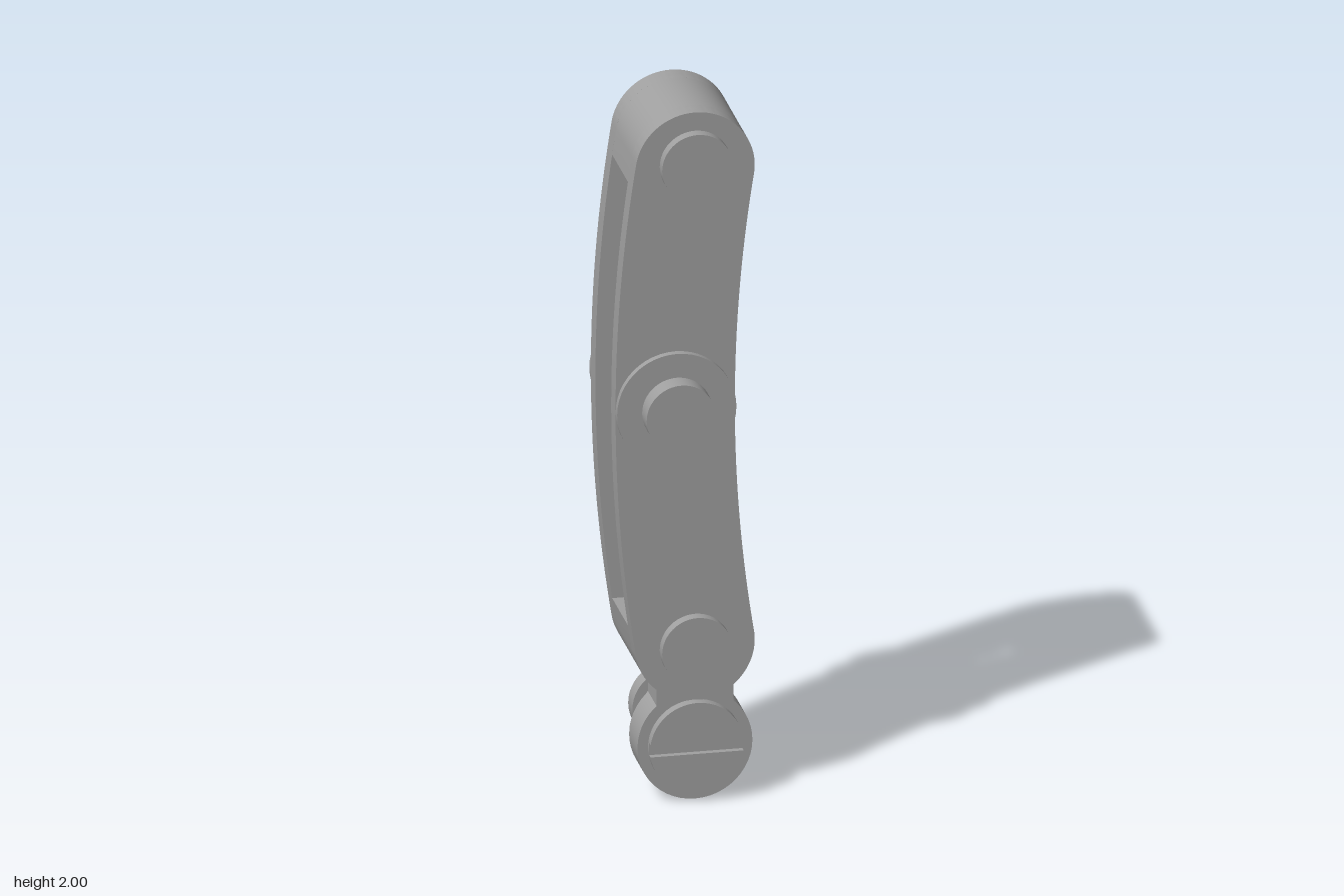
import * as THREE from 'three';
import { toCreasedNormals } from 'three/addons/utils/BufferGeometryUtils.js';

const steel = new THREE.MeshStandardMaterial({ color: 0xa0a0a0 });
steel.name = 'steel grey';

// Centreline of the curved link: an arc about (CX, CY) of radius R
const CX = 4.33, CY = 1.143, R = 4.36, HALF = 0.165, SPAN = Math.asin(0.69 / R);
const PI = Math.PI;

// Rounded band following the centreline
function bandShape(halfWidth, span) {
  const s = new THREE.Shape();
  const ex = CX - R * Math.cos(span), ey = R * Math.sin(span);
  s.absarc(CX, CY, R + halfWidth, PI - span, PI + span, false);
  s.absarc(ex, CY - ey, halfWidth, PI + span, 2 * PI + span, false);
  s.absarc(CX, CY, R - halfWidth, PI + span, PI - span, true);
  s.absarc(ex, CY + ey, halfWidth, -span, PI - span, false);
  s.closePath();
  return s;
}

// Solid end of the band beyond the window; side is +1 (top) or -1 (bottom)
function endShape(side) {
  const cut = 0.645;
  const edge = r => CX - Math.sqrt(r * r - cut * cut);
  const ex = CX - R * Math.cos(SPAN), ey = R * Math.sin(SPAN);
  const pts = [new THREE.Vector2(edge(R + HALF), CY + side * cut), new THREE.Vector2(edge(R - HALF), CY + side * cut)];
  for (let i = 0; i <= 32; i++) {
    const a = -SPAN + (PI * i) / 32;
    pts.push(new THREE.Vector2(ex + HALF * Math.cos(a), CY + side * (ey + HALF * Math.sin(a))));
  }
  return new THREE.Shape(pts);
}

export function createModel() {
  const model = new THREE.Group();
  model.name = 'expansionLink';

  function add(name, geometry) {
    const mesh = new THREE.Mesh(geometry, steel);
    mesh.name = name;
    model.add(mesh);
    return mesh;
  }
  // Extrusion between two z values
  function slab(name, shape, z0, z1) {
    const g = new THREE.ExtrudeGeometry(shape, { depth: z1 - z0, bevelEnabled: false, curveSegments: 32 });
    g.translate(0, 0, z0);
    return add(name, toCreasedNormals(g, 0.6));
  }
  // Cylinder along z between two z values
  function pin(name, x, y, r, z0, z1) {
    const g = new THREE.CylinderGeometry(r, r, z1 - z0, 48);
    g.rotateX(PI / 2);
    g.translate(x, y, (z0 + z1) / 2);
    return add(name, g);
  }

  // Side plates, each with a shallow groove on its inner face
  const grooved = bandShape(HALF, SPAN);
  grooved.holes.push(bandShape(0.1, Math.asin(0.51 / R)));
  slab('frontPlate', bandShape(HALF, SPAN), 0.135, 0.162);
  slab('frontGroove', grooved, 0.105, 0.135);
  slab('backPlate', bandShape(HALF, SPAN), -0.162, -0.135);
  slab('backGroove', grooved, -0.135, -0.102);

  // End blocks joining the plates
  slab('topBlock', endShape(1), -0.102, 0.105);
  slab('bottomBlock', endShape(-1), -0.102, 0.105);

  // Trunnions on both sides of the middle
  for (const [side, label] of [[1, 'front'], [-1, 'back']]) {
    const span = (a, b) => (side > 0 ? [a, b] : [-b, -a]);
    pin(label + 'TrunnionFlange', -0.03, CY, HALF, ...span(0.15, 0.183));
    pin(label + 'TrunnionPin', -0.03, CY, 0.096, ...span(0.15, 0.243));
  }

  // Pins at the two ends
  pin('topPin', 0.025, 1.847, 0.098, 0.1, 0.195);
  pin('bottomPin', 0.025, 0.442, 0.098, 0.05, 0.195);

  // Hanging eye with its neck
  const ex = 0.025, ey = 0.161;
  pin('eye', ex, ey, 0.159, 0.05, 0.16);
  const neck = new THREE.BoxGeometry(0.212, 0.2, 0.11);
  neck.translate(ex, 0.34, 0.105);
  add('eyeNeck', neck);

  // Slotted bolt through the eye
  pin('boltHeadBase', ex, ey, 0.13, 0.155, 0.172);
  const a = Math.asin(0.018 / 0.13);
  for (const [label, turn] of [['Upper', 0], ['Lower', PI]]) {
    const half = new THREE.Shape();
    half.absarc(ex, ey, 0.13, turn + a, turn + PI - a, false);
    half.closePath();
    slab('boltHead' + label, half, 0.172, 0.19);
  }
  pin('boltShaft', ex, ey, 0.088, -0.13, 0.06);
  pin('boltEnd', ex, ey, 0.114, -0.176, -0.121);

  return model;
}
